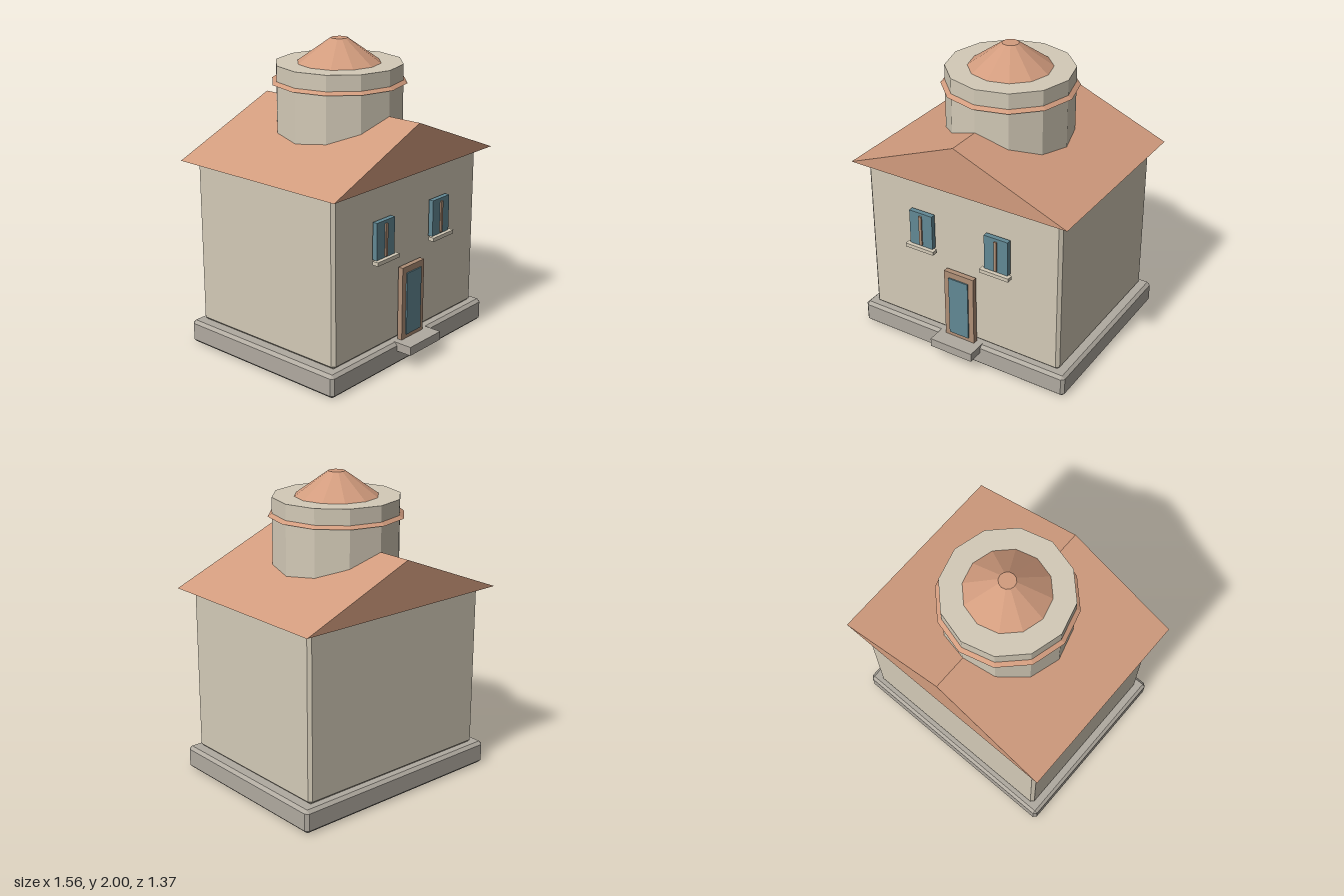
import * as THREE from 'three';
import { ConvexGeometry } from 'three/addons/geometries/ConvexGeometry.js';

const CZ = -0.041; // depth centre of the house body

function makeMaterial(name, color) {
  const m = new THREE.MeshStandardMaterial({ color, flatShading: true });
  m.name = name;
  return m;
}

// Box with all edges and corners cut by c
function chamferBox(w, h, d, c) {
  const points = [];
  for (const sx of [-1, 1]) for (const sy of [-1, 1]) for (const sz of [-1, 1]) {
    const x = sx * w / 2, y = sy * h / 2, z = sz * d / 2;
    points.push(
      new THREE.Vector3(x, y - sy * c, z - sz * c),
      new THREE.Vector3(x - sx * c, y, z - sz * c),
      new THREE.Vector3(x - sx * c, y - sy * c, z));
  }
  return new ConvexGeometry(points);
}

export function createModel() {
  const house = new THREE.Group();
  house.name = 'house';

  const plaster = makeMaterial('cream plaster', 0xd3cab7);
  const stone = makeMaterial('grey stone', 0xb0aaa0);
  const tile = makeMaterial('terracotta tile', 0xd29c7e);
  const wood = makeMaterial('brown wood', 0xae8e76);
  const glass = makeMaterial('blue paint', 0x628894);

  function add(parent, name, geometry, material, x, y, z) {
    const mesh = new THREE.Mesh(geometry, material);
    mesh.name = name;
    mesh.position.set(x, y, z);
    parent.add(mesh);
    return mesh;
  }

  // Box given by centre x, width, and ranges in y and z
  function addBox(parent, name, material, x, w, y0, y1, z0, z1) {
    return add(parent, name, new THREE.BoxGeometry(w, y1 - y0, z1 - z0), material,
      x, (y0 + y1) / 2, (z0 + z1) / 2);
  }

  // Plinth and walls
  add(house, 'plinth', chamferBox(1.544, 0.154, 1.24, 0.02), stone, 0, 0.077, CZ);
  add(house, 'walls', chamferBox(1.414, 1.094, 1.146, 0.02), plaster, 0, 0.7, CZ);

  // Gabled roof with the ridge running front to back
  const gable = new THREE.Shape([
    new THREE.Vector2(-0.78, 1.246),
    new THREE.Vector2(0.78, 1.246),
    new THREE.Vector2(0, 1.56),
  ]);
  const roof = new THREE.ExtrudeGeometry(gable, { depth: 1.288, bevelEnabled: false });
  add(house, 'roof', roof, tile, 0, 0, CZ - 0.644);

  // Twelve-sided turret; its wide cap cuts through the drum and shows as a ledge
  const turret = new THREE.Group();
  turret.name = 'turret';
  house.add(turret);
  add(turret, 'drum', new THREE.CylinderGeometry(0.409, 0.409, 0.6, 12), plaster, 0, 1.547, CZ);
  add(turret, 'turretCap', new THREE.CylinderGeometry(0.054, 0.436, 0.273, 12), tile, 0, 1.8635, CZ);

  // Entrance
  const entrance = new THREE.Group();
  entrance.name = 'entrance';
  house.add(entrance);
  addBox(entrance, 'doorFrame', wood, 0, 0.218, 0.154, 0.645, 0.543, 0.578);
  addBox(entrance, 'doorPanel', glass, 0, 0.144, 0.185, 0.603, 0.56, 0.587);
  addBox(entrance, 'doorStep', stone, 0, 0.312, 0.098, 0.156, 0.55, 0.685);

  // Front windows
  for (const x of [-0.278, 0.278]) {
    const window = new THREE.Group();
    window.name = x > 0 ? 'leftWindow' : 'rightWindow';
    house.add(window);
    addBox(window, 'pane', glass, x, 0.17, 0.77, 1.01, 0.543, 0.576);
    addBox(window, 'mullion', wood, x, 0.02, 0.78, 0.99, 0.56, 0.586);
    addBox(window, 'sill', plaster, x, 0.21, 0.746, 0.771, 0.56, 0.602);
  }

  return house;
}
